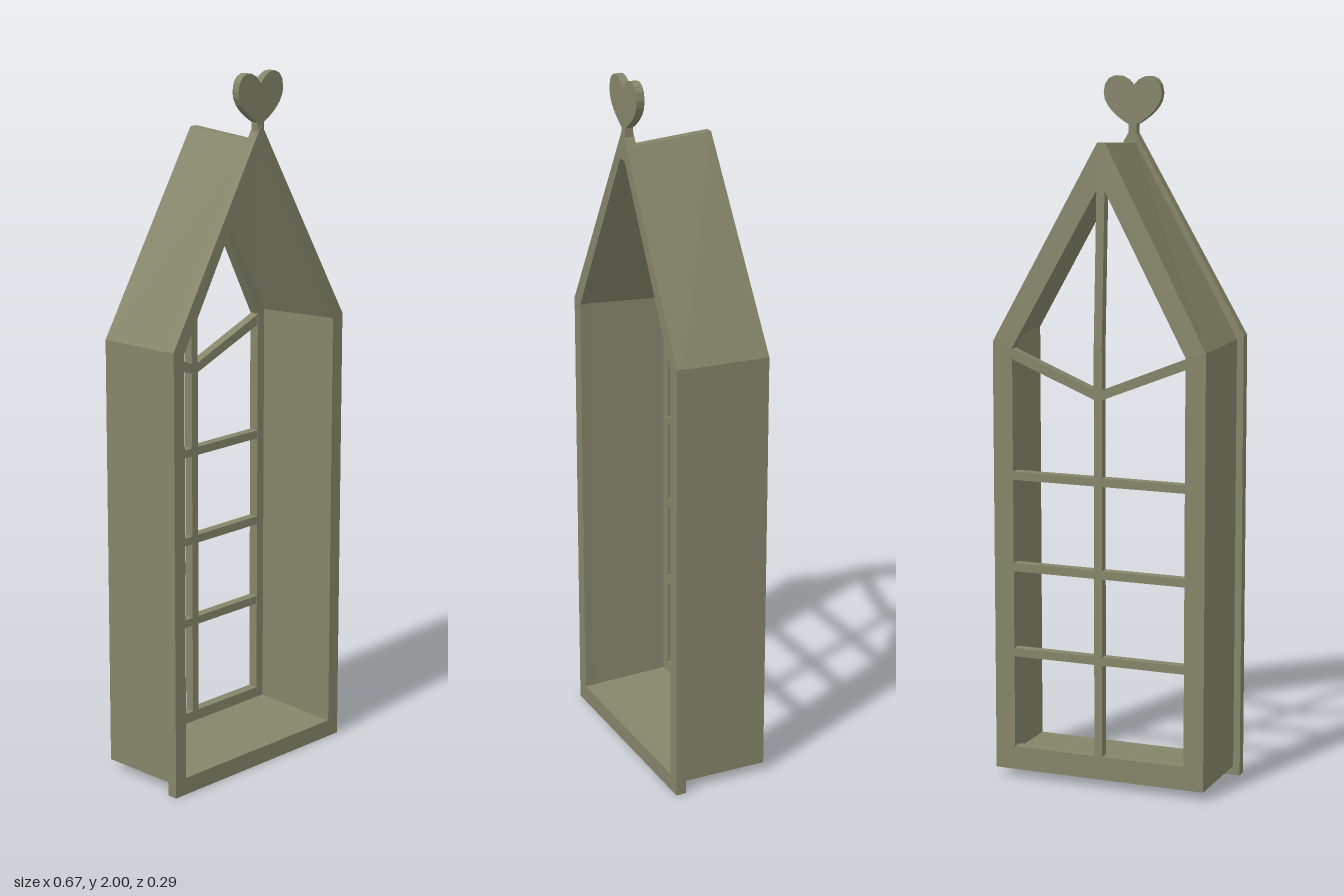
import * as THREE from 'three';

const material = new THREE.MeshStandardMaterial({ color: 0x85856a, flatShading: true });
const BACK = -0.145, SASH_FRONT = -0.115, SHOULDER = 1.27;

// The gable part of the back leans forward towards the apex
const lean = (y) => Math.max(0, y - SHOULDER) * 0.049;

// House-shaped cross-section, counter-clockwise seen from the front
function loop(z, w, bottom, shoulder, tipHalf, tipY, leaning = false) {
  const outline = [[-w, bottom], [w, bottom], [w, shoulder], [tipHalf, tipY], [-tipHalf, tipY], [-w, shoulder]];
  return outline.map(([x, y]) => [x, y, z + (leaning ? lean(y) : 0)]);
}

// Closed frame: skins outer front, outer back, inner back, inner front and back to the start
function frame(name, loops) {
  const pos = [];
  loops.forEach((A, k) => {
    const B = loops[(k + 1) % loops.length];
    for (let i = 0; i < A.length; i++) {
      const j = (i + 1) % A.length;
      for (const p of [A[i], B[i], B[j], A[i], B[j], A[j]]) pos.push(...p);
    }
  });
  const geo = new THREE.BufferGeometry();
  geo.setAttribute('position', new THREE.Float32BufferAttribute(pos, 3));
  geo.computeVertexNormals();
  return part(name, geo);
}

function part(name, geo) {
  const mesh = new THREE.Mesh(geo, material);
  mesh.name = name;
  return mesh;
}

// Flat bar from a 2D outline, following the lean of the back
function bar(name, points) {
  const shape = new THREE.Shape(points.map(([x, y]) => new THREE.Vector2(x, y)));
  const geo = new THREE.ExtrudeGeometry(shape, { depth: 0.028, bevelEnabled: false });
  geo.translate(0, 0, BACK + 0.001);
  const p = geo.attributes.position;
  for (let i = 0; i < p.count; i++) p.setZ(i, p.getZ(i) + lean(p.getY(i)));
  geo.computeVertexNormals();
  return part(name, geo);
}

const rect = (x0, x1, y0, y1) => [[x0, y0], [x1, y0], [x1, y1], [x0, y1]];

export function createModel() {
  const model = new THREE.Group();
  model.name = 'gabledWindow';

  // Flat trim around the front opening
  model.add(frame('frontTrim', [
    loop(0.143, 0.337, 0, 1.285, 0.001, 1.86),
    loop(0.113, 0.337, 0, 1.285, 0.001, 1.86),
    loop(0.113, 0.297, 0.05, 1.275, 0.014, 1.777),
    loop(0.143, 0.297, 0.05, 1.275, 0.014, 1.777),
  ]));

  // Deep casing with slightly tapering inner walls
  model.add(frame('casing', [
    loop(0.113, 0.317, 0.027, 1.275, 0.012, 1.815),
    loop(BACK, 0.317, 0.027, SHOULDER, 0.012, 1.83, true),
    loop(BACK, 0.283, 0.066, 1.262, 0.012, 1.735, true),
    loop(0.113, 0.297, 0.05, 1.275, 0.014, 1.777),
  ]));

  // Window sash at the back of the casing
  model.add(frame('sash', [
    loop(SASH_FRONT, 0.286, 0.063, 1.264, 0.012, 1.74, true),
    loop(BACK, 0.286, 0.063, 1.264, 0.012, 1.74, true),
    loop(BACK, 0.258, 0.095, 1.255, 0.012, 1.7, true),
    loop(SASH_FRONT, 0.258, 0.095, 1.255, 0.012, 1.7, true),
  ]));

  // Mullion and glazing bars
  model.add(bar('lowerMullion', rect(-0.012, 0.012, 0.09, SHOULDER)));
  model.add(bar('upperMullion', rect(-0.012, 0.012, SHOULDER, 1.715)));
  for (const y of [0.375, 0.625, 0.89]) {
    model.add(bar('crossBar', rect(-0.262, 0.262, y - 0.012, y + 0.012)));
  }
  model.add(bar('chevronBar', [
    [0, 1.118], [0.264, 1.224], [0.264, 1.254], [0, 1.146], [-0.264, 1.254], [-0.264, 1.224],
  ]));

  // Heart finial
  const heart = new THREE.Shape();
  heart.moveTo(0.012, 1.838);
  heart.lineTo(0.012, 1.866);
  heart.bezierCurveTo(0.045, 1.885, 0.087, 1.915, 0.087, 1.955);
  heart.bezierCurveTo(0.087, 2.01, 0.03, 2.018, 0, 1.972);
  heart.bezierCurveTo(-0.03, 2.018, -0.087, 2.01, -0.087, 1.955);
  heart.bezierCurveTo(-0.087, 1.915, -0.045, 1.885, -0.012, 1.866);
  heart.lineTo(-0.012, 1.838);
  const heartGeo = new THREE.ExtrudeGeometry(heart, { depth: 0.023, bevelEnabled: false, curveSegments: 6 });
  heartGeo.translate(0, 0, 0.117);
  model.add(part('heartFinial', heartGeo));

  return model;
}
